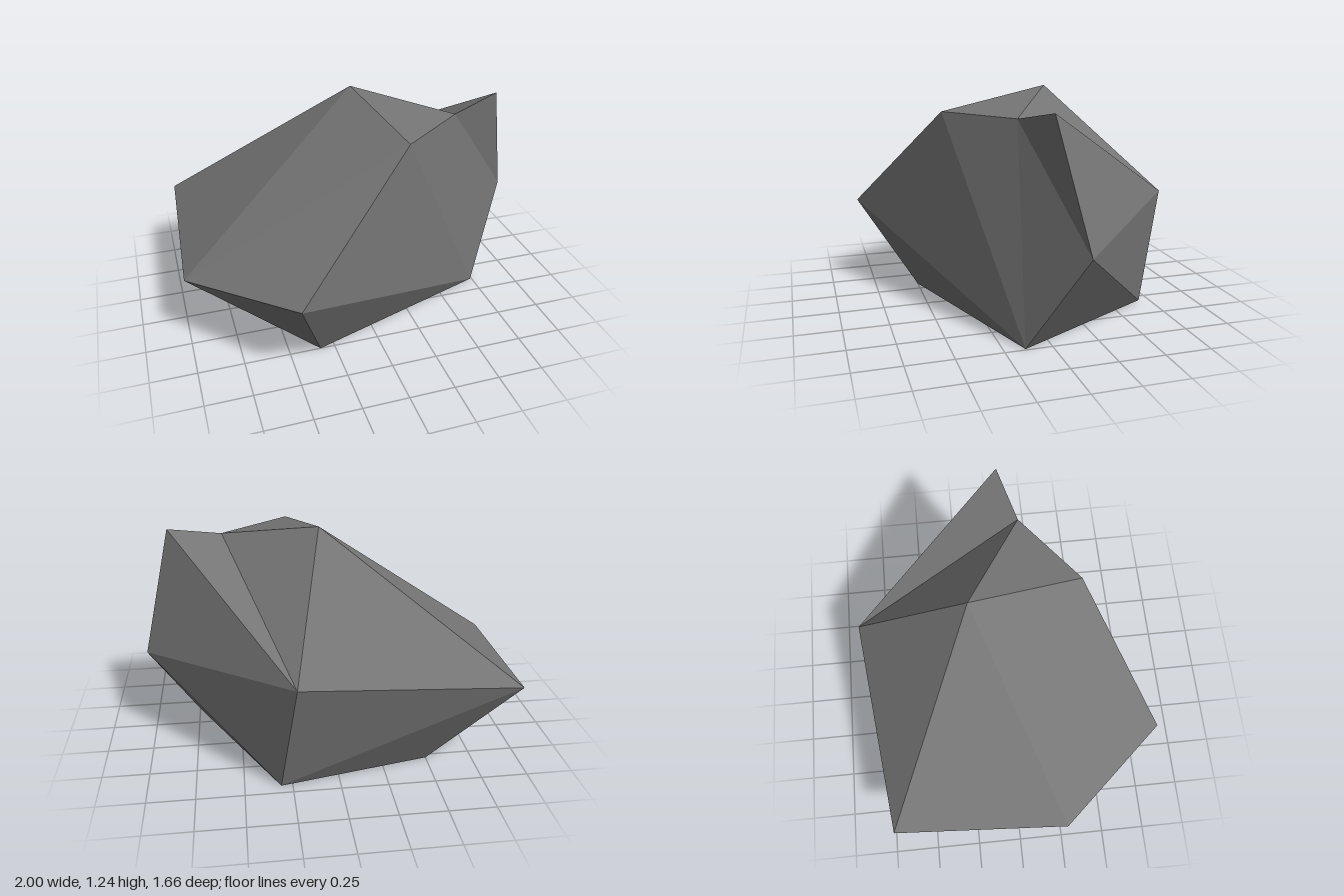
import * as THREE from 'three';

// Corner points of the boulder
const corners = {
  // rim around the middle
  a: [-1, 0.43, 0.26], b: [-0.95, 0.5, -0.7], c: [-0.5, 0.52, 0.83],
  h: [1, 0.53, -0.1], i: [0.23, 0.63, -0.83],
  // crown
  d: [0.05, 1.24, -0.18], e: [0.18, 1.13, 0.43], f: [0.56, 1.13, 0.13], g: [0.85, 1.19, 0.04],
  // base
  j: [0.74, 0, 0.14], k: [-0.33, 0, 0.5], l: [-0.5, 0, -0.53], m: [0.31, 0, -0.69],
};

// Triangular facets of each part, by corner
const parts = {
  crown: 'abd bdi ade aec def dfi fgi ghi',
  frontFace: 'cej efj fhj fgh',
  underside: 'cjk ack akl abl blm bim imh hmj',
  base: 'jkl jlm',
};

const center = new THREE.Vector3(0, 0.55, 0);

// Builds flat facets, each turned to face away from the centre
function facets(list) {
  const points = [];
  for (const name of list.split(' ')) {
    const [p, q, r] = [...name].map((n) => new THREE.Vector3(...corners[n]));
    const normal = q.clone().sub(p).cross(r.clone().sub(p));
    const outward = normal.dot(p.clone().sub(center)) > 0;
    points.push(p, ...(outward ? [q, r] : [r, q]));
  }
  const geometry = new THREE.BufferGeometry().setFromPoints(points);
  geometry.computeVertexNormals();
  return geometry;
}

export function createModel() {
  const stone = new THREE.MeshStandardMaterial({ color: 0x757575 });
  stone.name = 'stone grey';
  stone.flatShading = true;

  const rock = new THREE.Group();
  rock.name = 'rock';
  for (const [name, list] of Object.entries(parts)) {
    const mesh = new THREE.Mesh(facets(list), stone);
    mesh.name = name;
    rock.add(mesh);
  }
  return rock;
}
